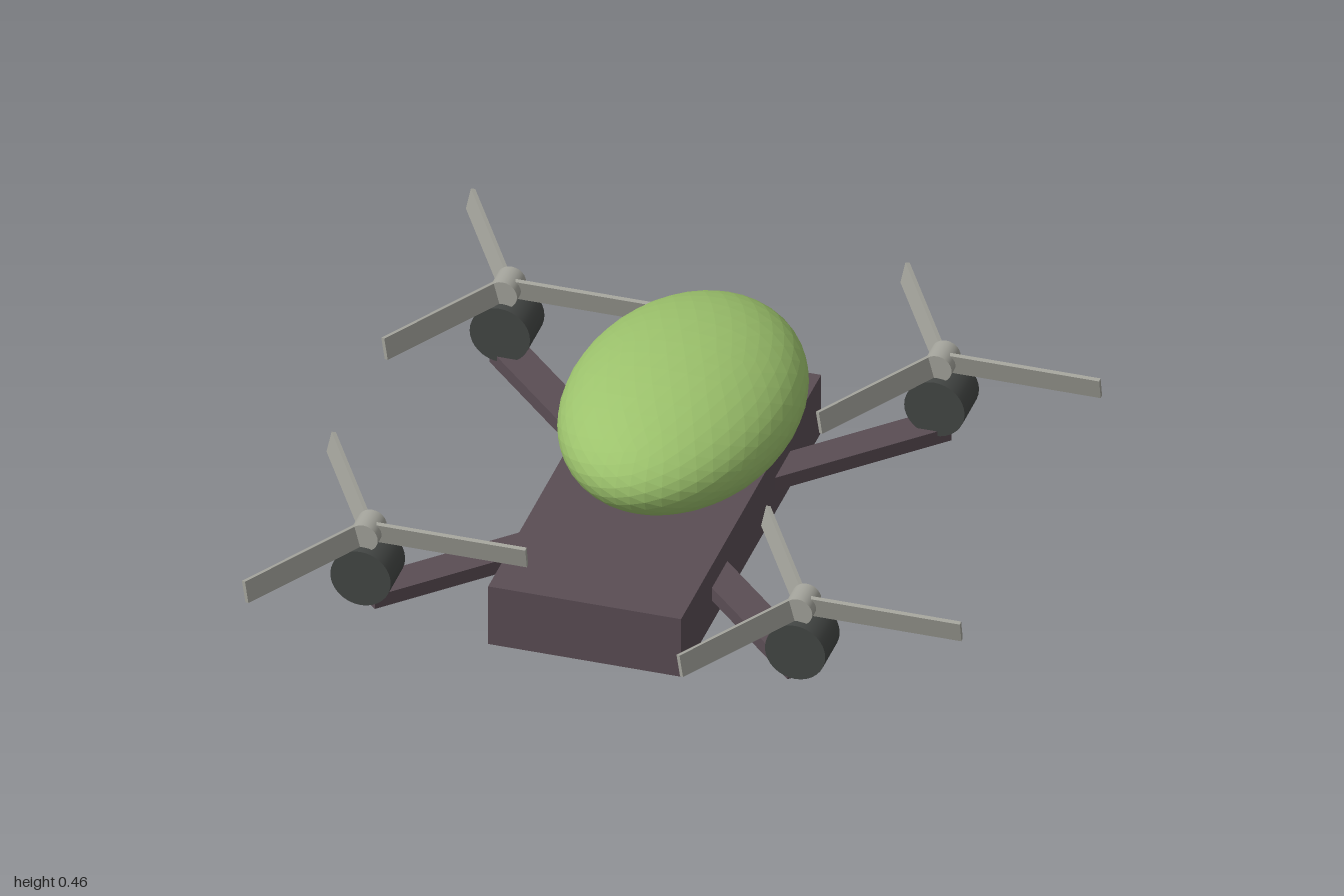
import * as THREE from 'three';

const material = (color, flatShading = false) => {
  const m = new THREE.MeshStandardMaterial({ color });
  m.flatShading = flatShading;
  return m;
};

const CENTRE_X = -0.105; // the airframe sits off-centre because one blade per rotor points to +x

export function createModel() {
  const model = new THREE.Group();
  model.name = 'quadcopter';

  const frameMat = material(0x5a4d54);
  const canopyMat = material(0x9cc26c, true);
  const motorMat = material(0x444745);
  const rotorMat = material(0xa3a39b);

  const add = (parent, name, geometry, mat, x = 0, y = 0, z = 0) => {
    const mesh = new THREE.Mesh(geometry, mat);
    mesh.name = name;
    mesh.position.set(x, y, z);
    parent.add(mesh);
    return mesh;
  };

  // Airframe and faceted egg-shaped canopy
  add(model, 'body', new THREE.BoxGeometry(0.53, 0.18, 1.232), frameMat, CENTRE_X, 0.09, 0);
  const canopyGeo = new THREE.IcosahedronGeometry(1, 7).scale(0.313, 0.187, 0.473);
  add(model, 'canopy', canopyGeo, canopyMat, CENTRE_X, 0.268, -0.25);

  // Shared geometries: arm runs along +x from its outer end, blade starts at the hub
  const armLength = 0.62;
  const armGeo = new THREE.BoxGeometry(armLength, 0.04, 0.096).translate(-armLength / 2, 0, 0);
  const motorGeo = new THREE.CylinderGeometry(0.083, 0.083, 0.127, 32).rotateX(Math.PI / 2);
  const hubGeo = new THREE.CylinderGeometry(0.04, 0.04, 0.08, 24).rotateX(Math.PI / 2);
  const bladeGeo = new THREE.BoxGeometry(0.437, 0.062, 0.012)
    .translate(0.2185, 0, 0)
    .rotateX(0.22);

  for (const sx of [-1, 1]) {
    for (const sz of [-1, 1]) {
      const x = CENTRE_X + sx * 0.597;
      const z = sz * 0.613;

      // Diagonal arm and motor
      const arm = add(model, 'arm', armGeo, frameMat, x + sx * 0.004, 0.09, z);
      arm.rotation.y = Math.atan2(-sz, sx);
      add(model, 'motor', motorGeo, motorMat, x, 0.178, z);

      // Three-bladed rotor, same orientation on every motor
      const rotor = new THREE.Group();
      rotor.name = 'rotor';
      rotor.position.set(x, 0.289, z);
      add(rotor, 'hub', hubGeo, rotorMat);
      for (let i = 0; i < 3; i++) {
        add(rotor, 'blade', bladeGeo, rotorMat).rotation.y = (i * 2 * Math.PI) / 3;
      }
      model.add(rotor);
    }
  }
  return model;
}
